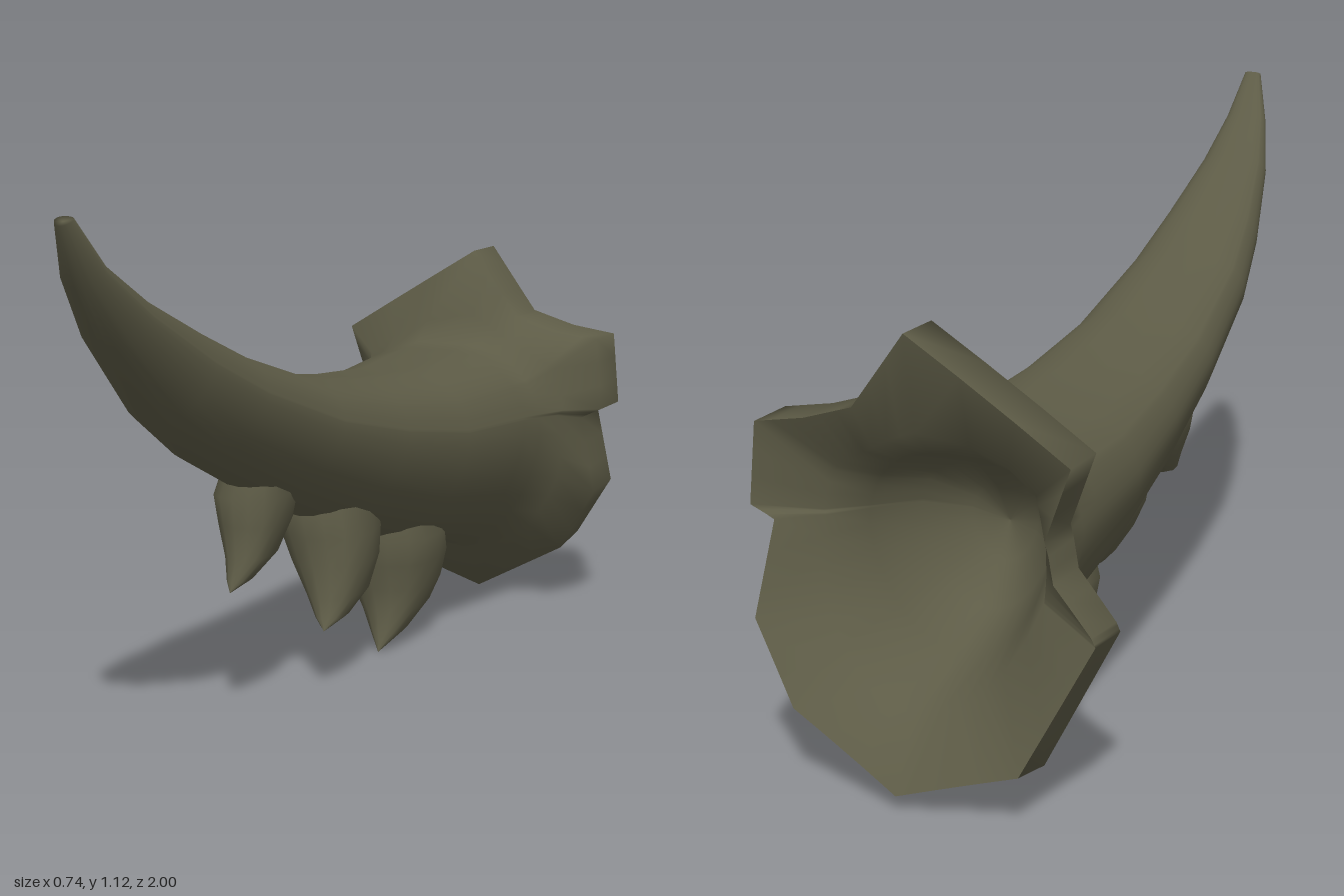
import * as THREE from 'three';

// Skins a list of closed rings (arrays of [x, y, z]) into one smooth surface.
function loft(rings) {
  const n = rings[0].length;
  const index = [];
  for (let i = 0; i < rings.length - 1; i++) {
    for (let j = 0; j < n; j++) {
      const k = (j + 1) % n;
      const a = i * n + j, b = i * n + k, c = a + n, d = b + n;
      index.push(a, c, b, b, c, d);
    }
  }
  const g = new THREE.BufferGeometry();
  g.setAttribute('position', new THREE.Float32BufferAttribute(rings.flat(2), 3));
  g.setIndex(index);
  g.computeVertexNormals();
  return g;
}

const mix = (a, b, t) => a + (b - a) * t;

// Ragged outline of the flange, counter-clockwise seen from the front
const CORNERS = [
  [0, 0.01], [0.23, 0.14], [0.33, 0.3], [0.315, 0.49], [0.365, 0.515],
  [0.35, 0.68], [0.25, 0.695], [0.15, 0.725], [0.04, 0.875], [-0.3, 0.665],
  [-0.245, 0.52], [-0.27, 0.445], [-0.36, 0.365], [-0.37, 0.35], [-0.245, 0.09],
];
const STEPS = 3;
const outline = CORNERS.flatMap((p, i) => {
  const q = CORNERS[(i + 1) % CORNERS.length];
  return Array.from({ length: STEPS }, (_, s) => [mix(p[0], q[0], s / STEPS), mix(p[1], q[1], s / STEPS)]);
});
const angles = outline.map(([x, y]) => Math.atan2(y - 0.43, x));

// Egg-shaped horn section: top z, y; bottom z, y; centre x; half width
function section([zt, yt, zb, yb, cx, hw]) {
  const cz = mix(zb, zt, 0.6), cy = mix(yb, yt, 0.6);
  return angles.map((a) => {
    const v = Math.sin(a), c = Math.cos(a), up = v >= 0;
    const w = hw * (up ? Math.sign(c) * Math.abs(c) ** 0.7 : c * (1 + 0.15 * v));
    return [cx + w, mix(cy, up ? yt : yb, Math.abs(v)), mix(cz, up ? zt : zb, Math.abs(v))];
  });
}

const HORN = [
  [0.988, 1.112, 0.988, 1.112, 0.06, 0],
  [0.975, 1.12, 1.0, 1.105, 0.06, 0.02],
  [0.89, 1.03, 0.94, 0.99, 0.047, 0.049],
  [0.75, 0.95, 0.83, 0.86, 0.028, 0.08],
  [0.56, 0.865, 0.64, 0.685, 0.012, 0.115],
  [0.38, 0.79, 0.47, 0.58, 0, 0.14],
  [0.1, 0.7, 0.2, 0.45, -0.005, 0.167],
  [-0.15, 0.66, -0.06, 0.34, -0.005, 0.19],
  [-0.38, 0.64, -0.33, 0.25, 0, 0.215],
  [-0.6, 0.655, -0.6, 0.19, 0.005, 0.238],
  [-0.67, 0.66, -0.7, 0.16, 0.005, 0.243],
];

// Thorn levels: y, front z, rear z, centre x, half width; the first is buried in the horn, the last is the tip
const THORNS = [
  [[0.54, 0.28, 0.13, -0.005, 0.06], [0.47, 0.308, 0.08, -0.01, 0.078], [0.41, 0.303, 0.1, -0.008, 0.068],
    [0.345, 0.312, 0.16, 0, 0.046], [0.3, 0.328, 0.25, 0, 0.022], [0.28, 0.335, 0.335, 0, 0]],
  [[0.46, 0.01, -0.18, 0, 0.085], [0.39, 0.035, -0.23, 0, 0.102], [0.33, 0.03, -0.235, 0.01, 0.102],
    [0.27, 0.028, -0.215, 0.025, 0.088], [0.2, 0.035, -0.165, 0.045, 0.056],
    [0.16, 0.05, -0.06, 0.06, 0.03], [0.138, 0.06, 0.06, 0.07, 0]],
  [[0.34, -0.28, -0.47, 0, 0.095], [0.26, -0.264, -0.56, 0, 0.12], [0.2, -0.272, -0.59, 0, 0.113],
    [0.14, -0.285, -0.56, 0.01, 0.093], [0.09, -0.287, -0.51, 0.02, 0.067],
    [0.04, -0.275, -0.4, 0.03, 0.035], [0.002, -0.262, -0.262, 0.036, 0]],
];

function thorn(levels) {
  const sides = 14;
  return loft(levels.map(([y, zf, zr, cx, hw]) => {
    const zc = mix(zf, zr, 0.32);
    return Array.from({ length: sides }, (_, j) => {
      const a = (j / sides) * Math.PI * 2, c = Math.cos(a);
      return [cx + hw * Math.sin(a), y, zc + c * (c > 0 ? zf - zc : zc - zr)];
    });
  }));
}

export function createModel() {
  const group = new THREE.Group();
  const olive = new THREE.MeshStandardMaterial({ color: 0x5d5b46 });
  olive.name = 'olive horn';
  const add = (name, geometry) => {
    const mesh = new THREE.Mesh(geometry, olive);
    mesh.name = name;
    group.add(mesh);
  };

  // Flange edge leans back below its middle and curves back at the sides
  const lean = (y) => 0.29 * Math.max(0, 0.5 - y);
  const rimFront = outline.map(([x, y]) => [x, y, -0.745 - 0.17 * x * x - lean(y)]);
  const rimBack = rimFront.map(([x, y, z]) => [x, y + 0.025 * Math.max(0, 1 - y / 0.5), z - 0.11]);

  // Horn flaring out into the flange and round its edge
  const horn = HORN.map(section);
  const base = horn[horn.length - 1];
  const flare = base.map(([x, y, z], i) => {
    const r = rimFront[i];
    return [mix(x, r[0], 0.3), mix(y, r[1], 0.3), mix(z, r[2], 0.7)];
  });
  add('hornAndFlange', loft([...horn, flare, rimFront, rimBack]));

  // Flat lip behind the flange, then a deep hollow
  const hollow = (t, z) => base.map(([x, y]) => [x * t, mix(0.42, y, t), z]);
  const lip = hollow(0.92, 0).map(([x, y], i) => {
    const ly = mix(rimBack[i][1], y, 0.85);
    return [mix(rimBack[i][0], x, 0.85), ly, -0.81 - lean(ly)];
  });
  add('hollow', loft([
    rimBack, lip, hollow(0.8, -0.72), hollow(0.6, -0.6), hollow(0.3, -0.53), hollow(0, -0.51),
  ]));

  // Three thorns under the horn
  THORNS.forEach((levels, i) => add(`thorn${i + 1}`, thorn(levels)));
  return group;
}
